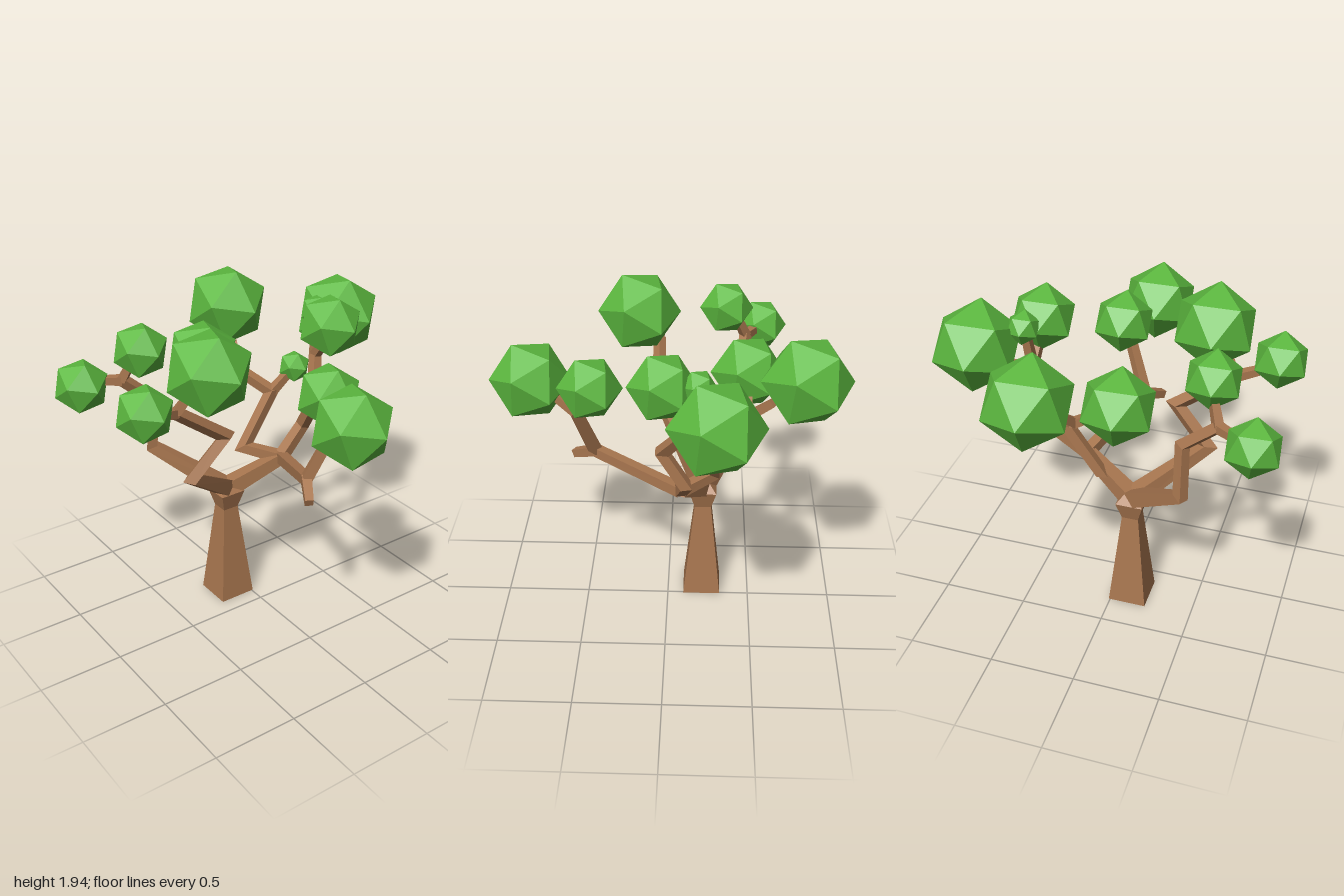
import * as THREE from 'three';

const bark = new THREE.MeshStandardMaterial({ color: 0xa8764f, flatShading: true });
const leaf = new THREE.MeshStandardMaterial({ color: 0x5cb83f, flatShading: true });
const vec = (p) => new THREE.Vector3(...p);

// Square limb along a polyline, mitred at every bend; radii are corner radii.
function limbGeometry(points, radii) {
  const pts = points.map(vec);
  const last = pts.length - 1;
  const dirs = pts.slice(1).map((p, i) => p.clone().sub(pts[i]).normalize());
  const side = new THREE.Vector3(0, 1, 0).cross(dirs[0]);
  if (side.length() < 0.3) side.set(1, 0, 0);
  side.addScaledVector(dirs[0], -side.dot(dirs[0])).normalize();
  const corners = [0, 1, 2, 3].map((k) =>
    side.clone().applyAxisAngle(dirs[0], Math.PI / 4 + (k * Math.PI) / 2));
  const pos = [];
  const index = [];
  pts.forEach((p, i) => {
    const inDir = dirs[Math.max(i - 1, 0)];
    const outDir = dirs[Math.min(i, last - 1)];
    const plane = inDir.clone().add(outDir).normalize();
    for (const c of corners) {
      c.addScaledVector(inDir, -c.dot(plane) / inDir.dot(plane));
      pos.push(...p.clone().addScaledVector(c, radii[i]).toArray());
      c.addScaledVector(outDir, -c.dot(outDir));
    }
    if (i < last) {
      for (let k = 0; k < 4; k++) {
        const a = i * 4 + k;
        const b = i * 4 + ((k + 1) % 4);
        index.push(a, b, a + 4, b, b + 4, a + 4);
      }
    }
  });
  const e = last * 4;
  index.push(0, 2, 1, 0, 3, 2, e, e + 1, e + 2, e, e + 2, e + 3);
  const g = new THREE.BufferGeometry();
  g.setAttribute('position', new THREE.Float32BufferAttribute(pos, 3));
  g.setIndex(index);
  const flat = g.toNonIndexed();
  flat.computeVertexNormals();
  return flat;
}

export function createModel() {
  const tree = new THREE.Group();
  tree.name = 'tree';

  const addLimb = (name, points, radii) => {
    const mesh = new THREE.Mesh(limbGeometry(points, radii), bark);
    mesh.name = name;
    tree.add(mesh);
  };

  // Tapered trunk flaring into the crotch
  addLimb('trunk',
    [[-0.21, 0, 0.105], [-0.21, 0.61, 0.105], [-0.21, 0.72, 0.105], [-0.21, 0.775, 0.105]],
    [0.16, 0.07, 0.112, 0.05]);

  // Branch nodes shared between limbs
  const crotch = [-0.21, 0.73, 0.1];
  const rightFork = [-0.45, 1.49, 0.63];
  const frontFork = [0.07, 1.48, 0.6];
  const backFork = [-0.08, 0.9, -0.21];
  const sideFork = [0.42, 1.04, -0.01];
  const sideTop = [0.51, 1.36, -0.13];
  const innerBend = [-0.275, 1.24, -0.28];
  const outerFork = [-0.45, 1.36, -0.15];
  const rearFork = [-0.14, 1.47, -0.5];

  // Main branches
  addLimb('rightFrontBranch',
    [crotch, [-0.47, 1.01, 0.45], [-0.42, 1.32, 0.44], rightFork], [0.07, 0.042, 0.04, 0.038]);
  addLimb('leftFrontBranch',
    [crotch, [0.02, 1.02, 0.48], [0.06, 1.245, 0.28], frontFork], [0.07, 0.045, 0.042, 0.038]);
  addLimb('backBranch', [crotch, backFork], [0.07, 0.048]);
  addLimb('leftSideBranch', [backFork, sideFork, [0.55, 0.975, 0.07]], [0.045, 0.04, 0.033]);
  addLimb('leftUpperBranch', [sideFork, sideTop], [0.042, 0.036]);
  addLimb('innerBranch',
    [backFork, [-0.27, 0.93, -0.07], innerBend, outerFork], [0.045, 0.04, 0.04, 0.038]);
  addLimb('rearBranch',
    [backFork, [-0.11, 1.05, -0.39], [0.02, 1.25, -0.37], rearFork], [0.046, 0.042, 0.042, 0.038]);

  // Twigs from the forks into the leaf clumps
  const twigs = [
    [rightFork, [-0.40, 1.61, 0.59]], [rightFork, [-0.52, 1.49, 0.74]],
    [frontFork, [0.13, 1.62, 0.52]], [frontFork, [0.12, 1.52, 0.74]],
    [sideTop, [0.62, 1.43, -0.09]], [sideTop, [0.46, 1.44, -0.14]],
    [innerBend, [-0.26, 1.35, -0.41]],
    [outerFork, [-0.58, 1.48, -0.21]], [outerFork, [-0.45, 1.45, 0.0]],
    [rearFork, [-0.21, 1.5, -0.62]], [rearFork, [-0.05, 1.58, -0.49]],
    [rearFork, [-0.17, 1.69, -0.52]],
  ];
  twigs.forEach(([a, b], i) => addLimb(`twig${i + 1}`, [a, b], [0.036, 0.03]));

  // Leaf clumps: identically tilted icosahedra [x, y, z, radius]
  const ax = new THREE.Vector3(0.904, 0.174, 0.392).normalize();
  const az = ax.clone().cross(new THREE.Vector3(-0.073, 0.968, -0.239)).normalize();
  const tilt = new THREE.Matrix4().makeBasis(ax, az.clone().cross(ax), az);
  const ball = new THREE.IcosahedronGeometry(1, 0).applyMatrix4(tilt);
  const clumps = [
    [-0.27, 1.63, -0.77, 0.26], [-0.75, 1.65, -0.285, 0.255], [0.01, 1.707, -0.485, 0.19],
    [0.425, 1.515, -0.145, 0.184], [0.767, 1.5, -0.025, 0.232], [-0.45, 1.51, 0.095, 0.215],
    [0.18, 1.715, 0.455, 0.243], [-0.33, 1.695, 0.57, 0.16], [-0.55, 1.47, 0.835, 0.16],
    [0.157, 1.577, 0.835, 0.16], [-0.26, 1.37, -0.437, 0.098], [-0.175, 1.73, -0.53, 0.098],
  ];
  clumps.forEach(([x, y, z, r], i) => {
    const mesh = new THREE.Mesh(ball, leaf);
    mesh.name = `leafClump${i + 1}`;
    mesh.position.set(x, y, z);
    mesh.scale.setScalar(r);
    tree.add(mesh);
  });

  return tree;
}
